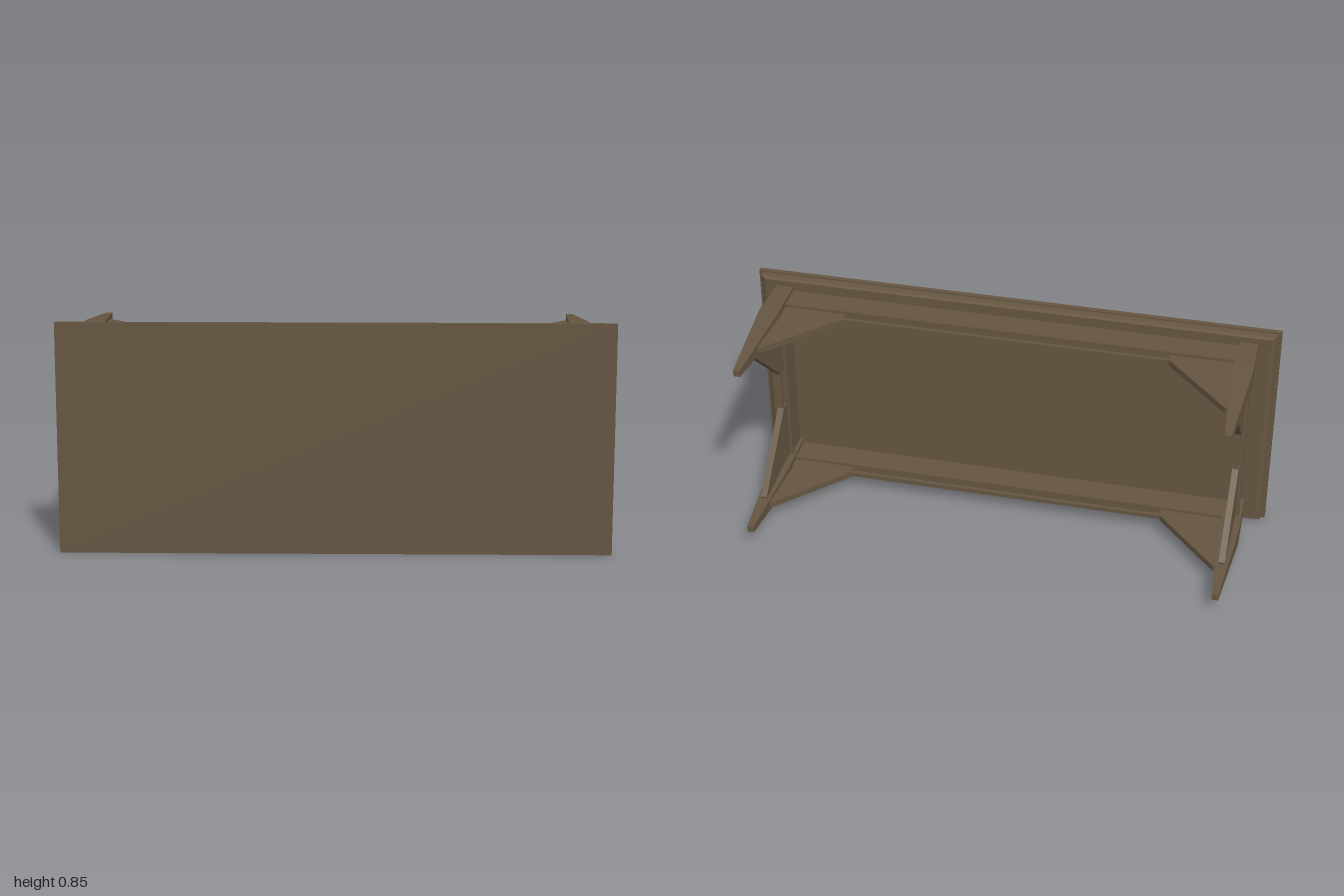
import * as THREE from 'three';

const wood = new THREE.MeshStandardMaterial({ color: 0x655541 });
wood.name = 'brown wood';

function add(parent, name, geometry, x = 0, y = 0, z = 0) {
  const mesh = new THREE.Mesh(geometry, wood);
  mesh.name = name;
  mesh.position.set(x, y, z);
  parent.add(mesh);
  return mesh;
}

// Rectangular loft along z; each section is [z, half width, half height], front first
function loft(sections) {
  const n = sections.length - 1;
  const box = new THREE.BoxGeometry(2, 2, 1, 1, 1, n);
  const p = box.attributes.position;
  for (let i = 0; i < p.count; i++) {
    const [z, hx, hy] = sections[Math.round((0.5 - p.getZ(i)) * n)];
    p.setXYZ(i, p.getX(i) * hx, p.getY(i) * hy, z);
  }
  const flat = box.toNonIndexed();
  flat.computeVertexNormals();
  return flat;
}

// Triangular corner brace lying in the x-z plane, s picks the end
function braceGeometry(half, s) {
  const t = 0.024;
  const points = [
    [half, -0.148], [half - 0.241, 0.111], [half - 0.241, 0.146],
    [half + 0.02, 0.146], [half + 0.02, -0.148],
  ].map(([u, z]) => new THREE.Vector2(s * u, z));
  const g = new THREE.ExtrudeGeometry(new THREE.Shape(points), { depth: t, bevelEnabled: false });
  return g.rotateX(Math.PI / 2).translate(0, t / 2, 0);
}

// One side of the frame: apron, bead, thin rail and two braces
function makeSide(half, distance) {
  const side = new THREE.Group();
  side.name = 'frameSide';
  add(side, 'apron', new THREE.BoxGeometry(half * 2 + 0.01, 0.036, 0.112), 0, distance, 0.202);
  add(side, 'bead', new THREE.BoxGeometry(half * 2 + 0.01, 0.048, 0.018), 0, distance, 0.154);
  add(side, 'rail', new THREE.BoxGeometry((half - 0.235) * 2, 0.016, 0.016), 0, distance, 0.12);
  for (const s of [-1, 1]) add(side, 'cornerBrace', braceGeometry(half, s), 0, distance, 0);
  return side;
}

export function createModel() {
  const table = new THREE.Group();
  table.name = 'tableOnItsSide';
  const body = new THREE.Group();
  body.name = 'table';
  body.position.y = 0.4225;
  table.add(body);

  // Top board with a rounded moulding behind it
  add(body, 'tableTop', new THREE.BoxGeometry(2, 0.845, 0.019), 0, 0, 0.3025);
  add(body, 'topMoulding', loft([
    [0.295, 0.985, 0.4165], [0.275, 0.985, 0.4155], [0.268, 0.981, 0.414],
    [0.262, 0.974, 0.4115], [0.257, 0.965, 0.409],
  ]));

  // Tapered legs
  const legX = 0.887, legY = 0.354;
  for (const sx of [-1, 1]) {
    for (const sy of [-1, 1]) {
      add(body, 'leg', loft([
        [0.26, 0.032, 0.033], [0.065, 0.038, 0.039], [-0.312, 0.0125, 0.0125],
      ]), sx * legX, sy * legY, 0);
    }
  }

  // Four frame sides between the legs
  for (let i = 0; i < 4; i++) {
    const side = i % 2 ? makeSide(0.32, legX) : makeSide(0.855, legY);
    side.rotation.z = i * Math.PI / 2;
    body.add(side);
  }
  return table;
}
